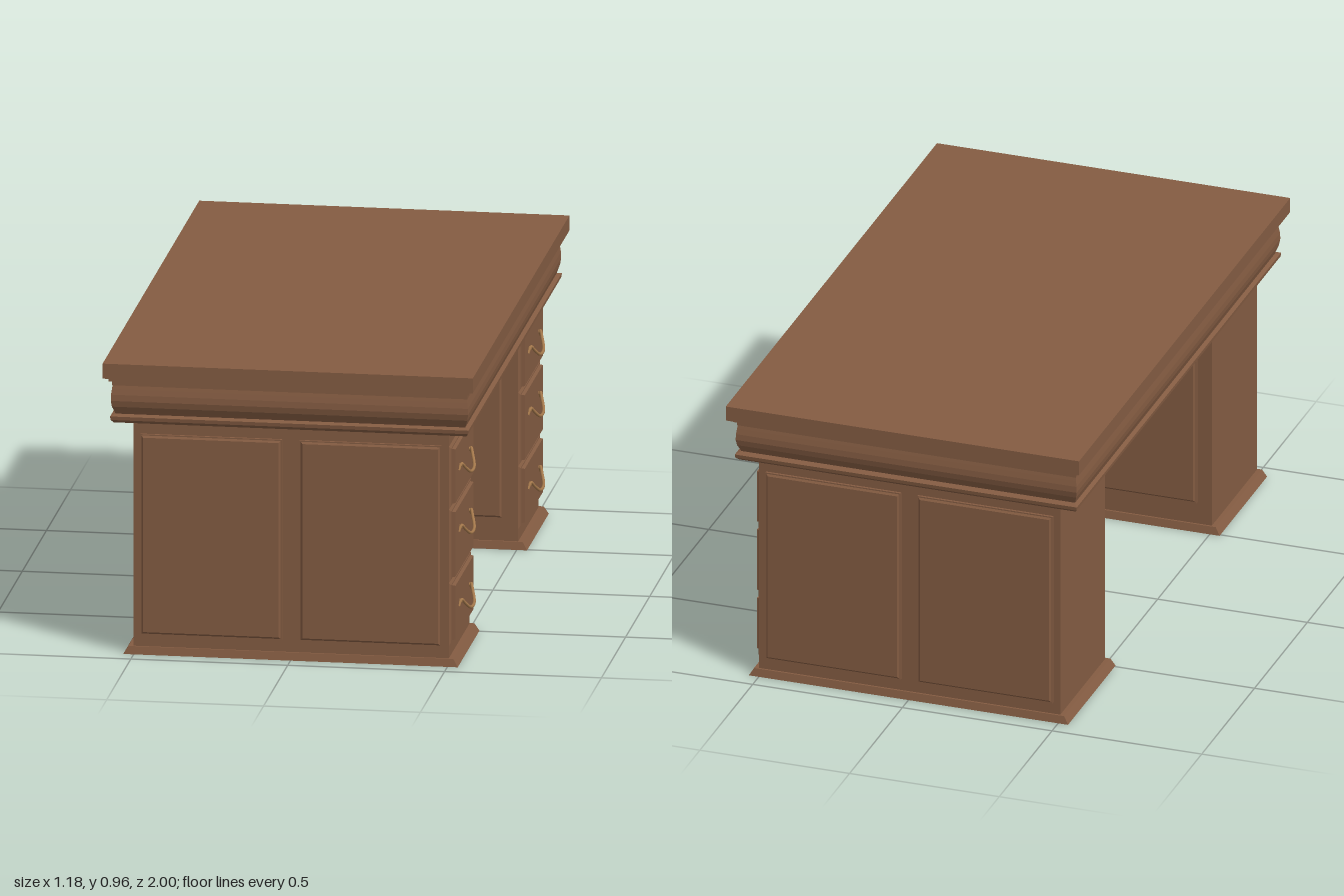
import * as THREE from 'three';

const wood = new THREE.MeshStandardMaterial({ color: 0x845c42, flatShading: true });
const brass = new THREE.MeshStandardMaterial({ color: 0xa5794c });

// Stack of rectangles [y, halfX, halfZ], joined and capped at both ends
function loft(sections) {
  const pos = [];
  const ring = ([y, hx, hz]) => [[hx, y, hz], [hx, y, -hz], [-hx, y, -hz], [-hx, y, hz]];
  const quad = (a, b, c, d) => pos.push(...a, ...b, ...c, ...a, ...c, ...d);
  for (let i = 0; i < sections.length - 1; i++) {
    const lo = ring(sections[i]), hi = ring(sections[i + 1]);
    for (let k = 0; k < 4; k++) {
      const n = (k + 1) % 4;
      quad(lo[k], lo[n], hi[n], hi[k]);
    }
  }
  const b = ring(sections[0]), t = ring(sections[sections.length - 1]);
  quad(b[3], b[2], b[1], b[0]);
  quad(t[0], t[1], t[2], t[3]);
  const g = new THREE.BufferGeometry();
  g.setAttribute('position', new THREE.Float32BufferAttribute(pos, 3));
  g.computeVertexNormals();
  return g;
}

function add(parent, name, geometry, x = 0, y = 0, z = 0, material = wood) {
  const m = new THREE.Mesh(geometry, material);
  m.name = name;
  m.position.set(x, y, z);
  parent.add(m);
  return m;
}

// Raised two-step panel rising along +y
function panelGeometry(hx, hy) {
  return loft([
    [0, hx, hy], [0.008, hx, hy], [0.008, hx - 0.004, hy - 0.004],
    [0.013, hx - 0.01, hy - 0.01],
  ]);
}

// Drawer front: bevelled plate with a raised field, facing +x
function drawerGeometry(hy, hz) {
  return loft([
    [0, hy, hz], [0.003, hy, hz], [0.009, hy - 0.009, hz - 0.009],
    [0.009, hy - 0.013, hz - 0.025], [0.02, hy - 0.015, hz - 0.026],
  ]).rotateZ(-Math.PI / 2);
}

// Drooping bail pull, mirrored about its middle
function handleGeometry() {
  const half = [[0, 0, -0.117], [0.007, 0.018, -0.1], [0.016, 0, -0.076], [0.026, -0.021, -0.042]];
  const pts = [...half, [0.029, -0.026, 0], ...half.slice().reverse().map(([x, y, z]) => [x, y, -z])];
  const curve = new THREE.CatmullRomCurve3(pts.map(p => new THREE.Vector3(...p)));
  return new THREE.TubeGeometry(curve, 40, 0.005, 8);
}

function createPedestal(side) {
  const g = new THREE.Group();
  g.name = side > 0 ? 'frontPedestal' : 'backPedestal';
  const cz = 0.7175 * side, hx = 0.503, hz = 0.2125;

  add(g, 'pedestalBody', new THREE.BoxGeometry(hx * 2, 0.755, hz * 2), 0, 0.3825, cz);
  add(g, 'baseMoulding', loft([
    [0, hx * 1.06, hz * 1.06], [0.025, hx * 1.03, hz * 1.03], [0.025, hx, hz],
  ]), 0, 0, cz);

  // Two panels outside, one wide panel facing the knee space
  for (const x of [-0.254, 0.254]) {
    const p = add(g, 'outerPanel', panelGeometry(0.226, 0.327), x, 0.391, cz + side * hz);
    p.rotation.x = side * Math.PI / 2;
  }
  const inner = add(g, 'innerPanel', panelGeometry(0.455, 0.293), 0, 0.392, cz - side * hz);
  inner.rotation.x = -side * Math.PI / 2;

  // Three drawers with pulls: [bottom, top, pull height]
  for (const [y0, y1, pull] of [[0.065, 0.27, 0.17], [0.27, 0.51, 0.412], [0.51, 0.715, 0.613]]) {
    add(g, 'drawerFront', drawerGeometry((y1 - y0) / 2, hz), 0.5, (y0 + y1) / 2, cz);
    add(g, 'drawerHandle', handleGeometry(), 0.519, pull, cz, brass);
    for (const s of [-1, 1]) {
      const post = new THREE.CylinderGeometry(0.006, 0.006, 0.012, 10).rotateZ(Math.PI / 2);
      add(g, 'handlePost', post, 0.523, pull + 0.014, cz + s * 0.1, brass);
    }
  }
  return g;
}

export function createModel() {
  const model = new THREE.Group();
  model.name = 'pedestalDesk';

  // Tabletop slab with its moulded cornice: [height, scale of the top outline]
  const profile = [
    [0.757, 0.952], [0.768, 0.966], [0.78, 0.968], [0.784, 0.945], [0.795, 0.951],
    [0.81, 0.96], [0.83, 0.965], [0.85, 0.964], [0.868, 0.96], [0.88, 0.957],
    [0.88, 0.96], [0.896, 0.96], [0.896, 0.974], [0.911, 0.974],
  ];
  add(model, 'corniceMoulding', loft(profile.map(([y, s]) => [y, 0.59 * s, s])));
  add(model, 'tabletop', new THREE.BoxGeometry(1.18, 0.049, 2), 0, 0.9355, 0);

  model.add(createPedestal(1), createPedestal(-1));
  return model;
}
